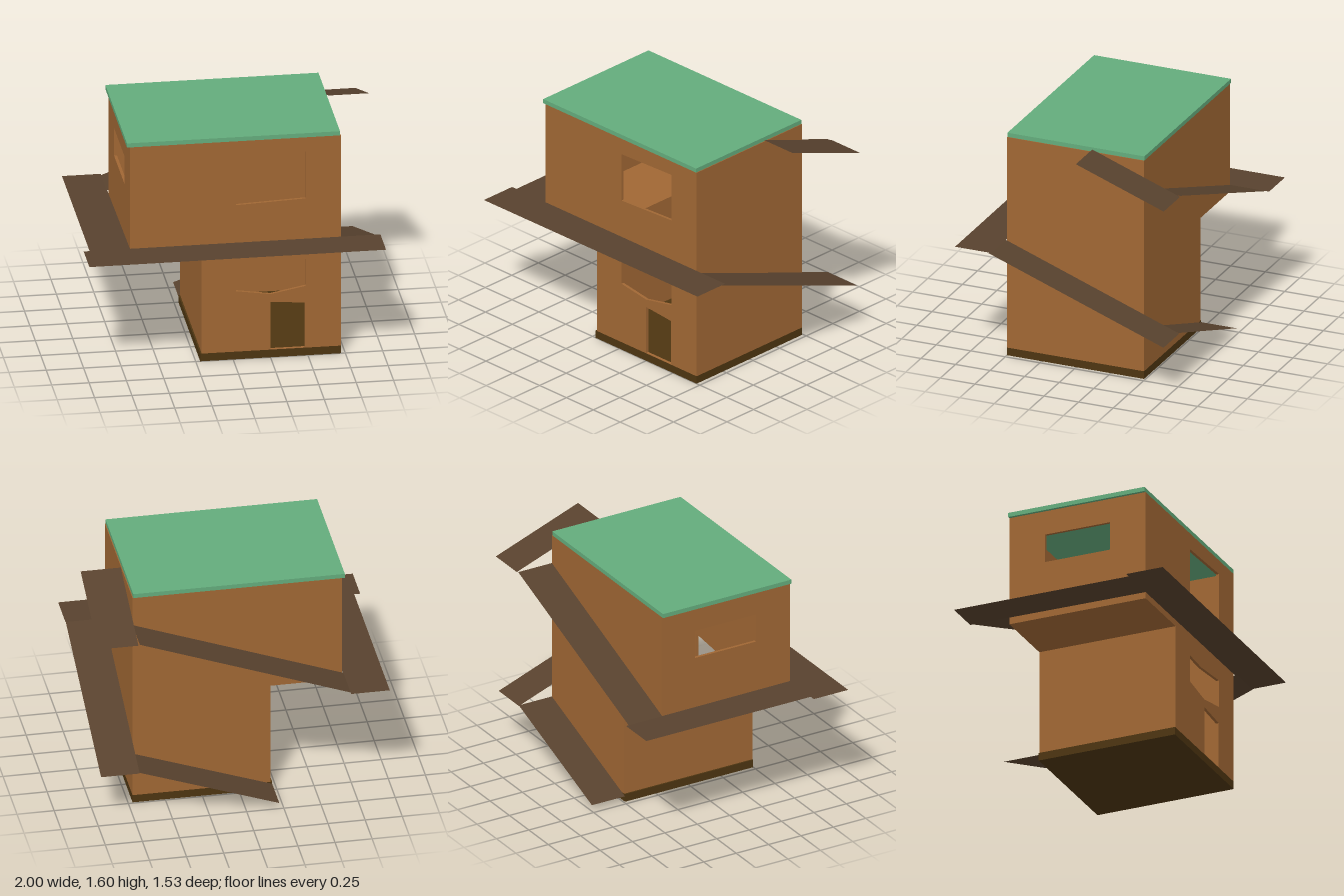
import * as THREE from 'three';

const wallMat = new THREE.MeshStandardMaterial({ color: 0xa06734 });
const baseMat = new THREE.MeshStandardMaterial({ color: 0x4d3511 });
const roofMat = new THREE.MeshStandardMaterial({ color: 0x64ac7c });
const rampMat = new THREE.MeshStandardMaterial({ color: 0x58422e, side: THREE.DoubleSide });

const T = 0.02; // wall thickness
const X0 = -0.69, XS = -0.21, X1 = 0.72; // overhang end, lower wall, right wall
const Z0 = -0.49, Z1 = 0.5;
const YB = 0.055, YF = 0.795, YR = 1.57; // base top, overhang underside, wall top

const points = (list) => list.map(([x, y]) => new THREE.Vector2(x, y));

// Flat wall panel in the xy plane, with openings
function panel(name, outline, holes = []) {
  const shape = new THREE.Shape(points(outline));
  for (const h of holes) shape.holes.push(new THREE.Path(points(h)));
  const geo = new THREE.ExtrudeGeometry(shape, { depth: T, bevelEnabled: false });
  const mesh = new THREE.Mesh(geo, wallMat);
  mesh.name = name;
  return mesh;
}

// Box given by its minimum and maximum corners
function box(name, a, b, mat) {
  const geo = new THREE.BoxGeometry(b[0] - a[0], b[1] - a[1], b[2] - a[2]);
  geo.translate((a[0] + b[0]) / 2, (a[1] + b[1]) / 2, (a[2] + b[2]) / 2);
  const mesh = new THREE.Mesh(geo, mat);
  mesh.name = name;
  return mesh;
}

// Thin four-cornered walkway sheet, corners anticlockwise from above
function ramp(name, ...corners) {
  const geo = new THREE.BufferGeometry();
  geo.setAttribute('position', new THREE.Float32BufferAttribute(corners.flat(), 3));
  geo.setIndex([0, 1, 2, 0, 2, 3]);
  geo.computeVertexNormals();
  const mesh = new THREE.Mesh(geo, rampMat);
  mesh.name = name;
  return mesh;
}

export function createModel() {
  const house = new THREE.Group();
  house.name = 'house';

  // Base slab and roof slab
  house.add(box('base', [-0.22, 0, Z0], [X1, YB, Z1], baseMat));
  house.add(box('roof', [-0.71, YR, Z0], [0.715, 1.6, Z1], roofMat));

  // Front and back walls, stepped out on the upper storey
  const outline = [[XS, YB], [X1, YB], [X1, YR], [X0, YR], [X0, YF], [XS, YF]];
  const upperWindow = [[0.02, 1.11], [0.02, 1.455], [0.485, 1.47], [0.485, 1.13]];
  const lowerWindow = [[0.02, 0.49], [0.02, 0.68], [0.2, 0.668], [0.485, 0.693], [0.485, 0.5], [0.25, 0.455]];
  const door = [[0.25, YB + 0.003], [0.25, 0.4], [0.48, 0.38], [0.48, YB + 0.003]];
  const front = panel('frontWall', outline, [upperWindow, lowerWindow, door]);
  front.position.z = Z1 - T;
  const back = panel('backWall', outline);
  back.position.z = Z0;
  house.add(front, back);

  // Overhang side wall with its window, turned to face the side
  const side = panel('upperSideWall',
    [[Z0 + T, YF], [Z1 - T, YF], [Z1 - T, YR], [Z0 + T, YR]],
    [[[-0.23, 1.2], [-0.23, 1.4], [0.24, 1.4], [0.24, 1.2]]]);
  side.rotation.y = -Math.PI / 2;
  side.position.x = X0 + T;
  house.add(side);

  // Plain side walls and the overhang floor
  house.add(box('plainSideWall', [X1 - T, YB, Z0 + T], [X1, YR, Z1 - T], wallMat));
  house.add(box('lowerSideWall', [XS, YB, Z0 + T], [XS + T, YF, Z1 - T], wallMat));
  house.add(box('overhangFloor', [X0 + T, YF, Z0 + T], [XS + T, YF + T, Z1 - T], wallMat));

  // Walkway winding down around the house
  const yL = 0.84;
  house.add(
    ramp('topSideRamp', [0.73, 1.592, -0.12], [1, 1.592, -0.12], [1, 1.36, -0.755], [0.73, 1.36, -0.755]),
    ramp('upperBackRamp', [-0.7, yL, Z0], [X1, 1.363, Z0], [X1, 1.363, -0.75], [-0.7, yL, -0.75]),
    ramp('sideLanding', [-0.96, yL, Z1], [-0.69, yL, Z1], [-0.7, yL, -0.77], [-0.96, yL, -0.77]),
    ramp('frontLanding', [-1, yL, 0.765], [0.985, yL, 0.76], [0.985, yL, Z1], [-1, yL, Z1]),
    ramp('lowerSideRamp', [X1, 0.833, 0.52], [0.98, 0.833, 0.52], [0.98, 0.37, -0.745], [X1, 0.37, -0.745]),
    ramp('lowerBackRamp', [-0.22, 0.04, Z0], [X1, 0.375, Z0], [X1, 0.375, -0.745], [-0.22, 0.04, -0.745]),
  );
  return house;
}
